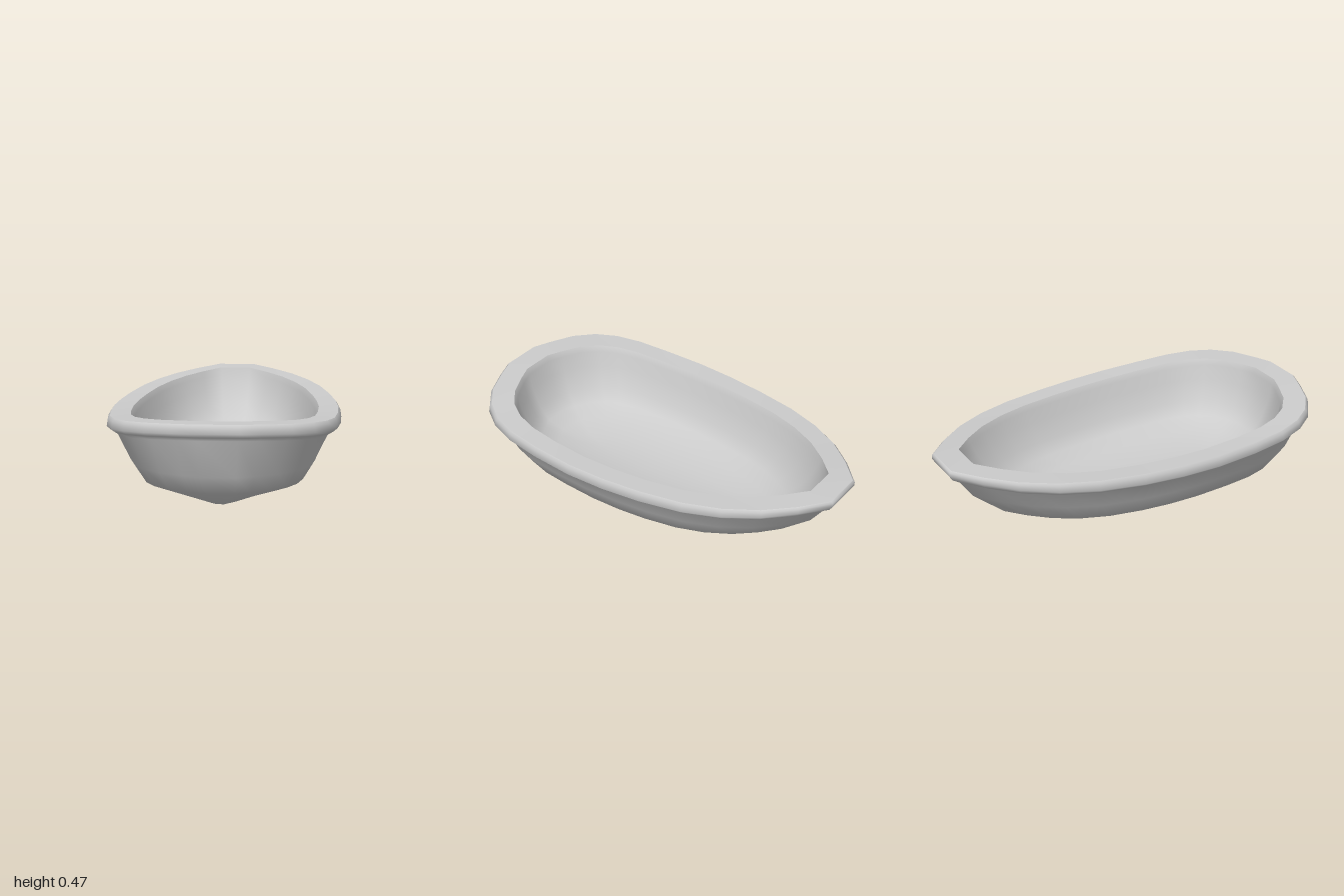
import * as THREE from 'three';
import { mergeVertices } from 'three/addons/utils/BufferGeometryUtils.js';

// Half of the deck outline (x, z), bow at -z to stern at +z
const half = [
  [0.10, -1.0], [0.22, -0.89], [0.33, -0.76], [0.42, -0.60], [0.485, -0.42], [0.53, -0.2],
  [0.555, 0], [0.565, 0.2], [0.555, 0.42], [0.535, 0.6], [0.495, 0.73], [0.43, 0.83],
  [0.33, 0.91], [0.2, 0.965], [0.10, 1.0],
];
const outline = [...half, ...half.slice().reverse().map(([x, z]) => [-x, z])];
const WIDTH = 0.565, MID = 0.1;

// One closed ring: half width, stern z, bow z, and the height amidships, at the stern and at the bow
function ring([w, stern, bow, yMid, yStern, yBow]) {
  return outline.map(([x, z]) => {
    const aft = z > MID;
    const t = aft ? (z - MID) / (1 - MID) : (MID - z) / (1 + MID);
    const end = aft ? stern : bow;
    const y = yMid + ((aft ? yStern : yBow) - yMid) * Math.pow(t, 2.2);
    return [x * w / WIDTH, y, MID + (end - MID) * t];
  });
}

// Smooth skin through a list of rings
function loft(name, rings, material) {
  const n = outline.length, index = [];
  for (let j = 0; j < rings.length - 1; j++) {
    for (let i = 0; i < n; i++) {
      const a = j * n + i, b = j * n + (i + 1) % n;
      index.push(a, b, a + n, b, b + n, a + n);
    }
  }
  const geo = new THREE.BufferGeometry();
  geo.setAttribute('position', new THREE.Float32BufferAttribute(rings.flatMap(ring).flat(), 3));
  geo.setIndex(index);
  const merged = mergeVertices(geo, 1e-4);
  merged.computeVertexNormals();
  const mesh = new THREE.Mesh(merged, material);
  mesh.name = name;
  return mesh;
}

export function createModel() {
  const group = new THREE.Group();
  group.name = 'boat';
  const grey = new THREE.MeshStandardMaterial({ color: 0xcccccc, roughness: 0.8 });

  const lip = [0.455, 0.875, -0.87, 0.415, 0.457, 0.462];
  const edge = [0.55, 0.985, -0.99, 0.417, 0.461, 0.467];

  // Hollow inside, from the floor's centre line up to the lip
  const inside = [
    [0, 0.45, -0.35, 0.075, 0.085, 0.095],
    [0.12, 0.58, -0.5, 0.08, 0.095, 0.12],
    [0.25, 0.68, -0.6, 0.105, 0.125, 0.15],
    [0.34, 0.76, -0.69, 0.145, 0.165, 0.2],
    [0.385, 0.81, -0.77, 0.21, 0.23, 0.27],
    [0.425, 0.85, -0.83, 0.315, 0.34, 0.36],
    [0.44, 0.863, -0.86, 0.385, 0.427, 0.43],
    lip,
  ];

  // Rounded gunwale, topsides, chine, bottom and flat keel
  const outside = [
    edge,
    [0.56, 0.995, -1.0, 0.403, 0.45, 0.46],
    [0.565, 1.0, -1.0, 0.368, 0.42, 0.44],
    [0.548, 0.985, -0.985, 0.352, 0.402, 0.415],
    [0.515, 0.967, -0.95, 0.33, 0.385, 0.39],
    [0.455, 0.915, -0.88, 0.22, 0.21, 0.29],
    [0.40, 0.84, -0.72, 0.122, 0.12, 0.15],
    [0.115, 0.74, -0.6, 0.032, 0.05, 0.09],
    [0.065, 0.6, -0.3, 0.002, 0.015, 0.02],
    [0, 0.55, -0.25, 0, 0.01, 0.014],
  ];

  group.add(
    loft('interior', inside, grey),
    loft('rimTop', [lip, edge], grey),
    loft('hull', outside, grey),
  );
  return group;
}
